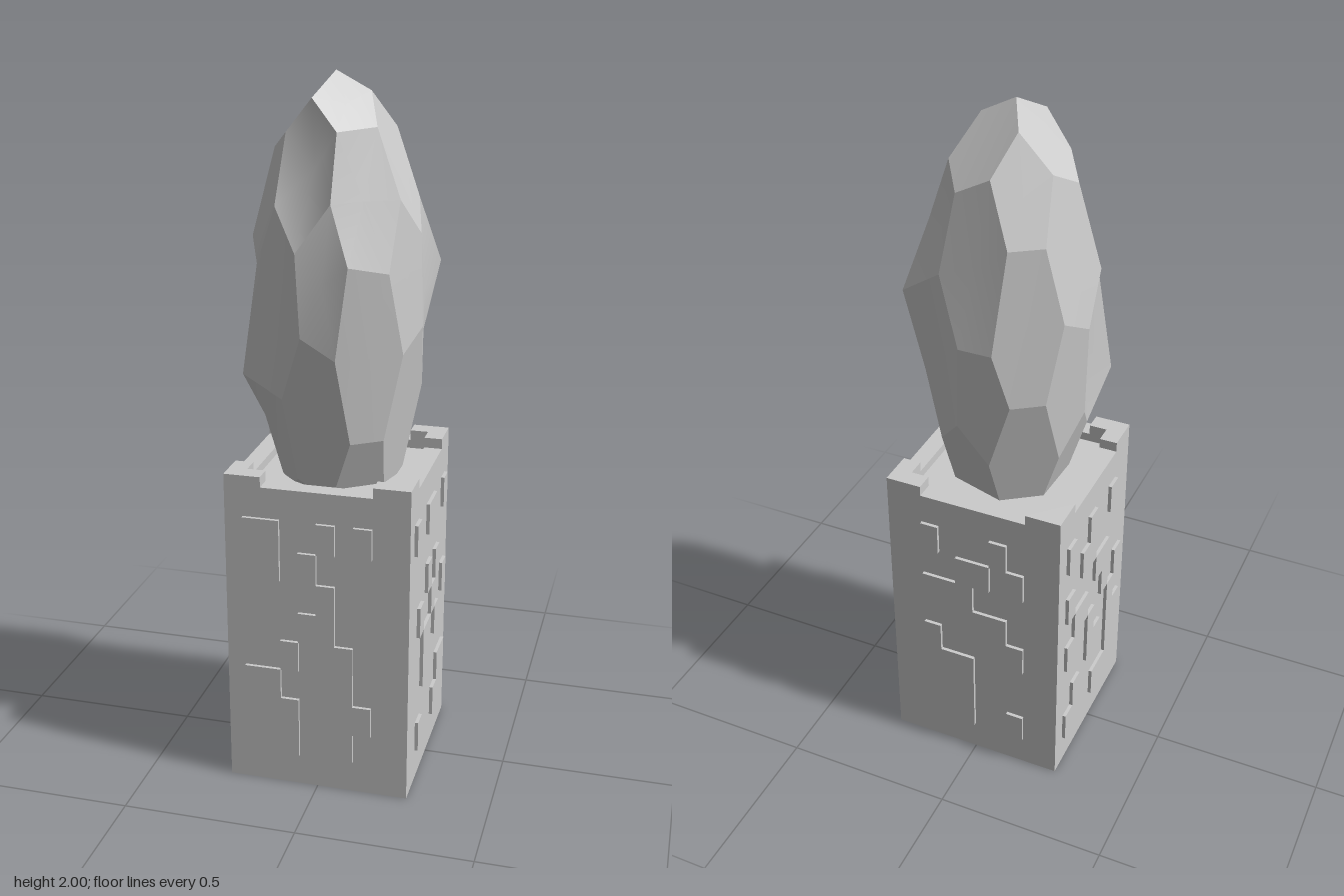
import * as THREE from 'three';

const grey = new THREE.MeshStandardMaterial({ color: 0xcccccc });
const HALF = 0.262, INNER = 0.21, NOTCH = 0.158;
const FLOOR = 0.89, LEDGE = 0.915, TOP = 0.945;

function add(parent, name, geometry) {
  const mesh = new THREE.Mesh(geometry, grey);
  mesh.name = name;
  parent.add(mesh);
  return mesh;
}

// Polygon in plan, raised from y0 to y1
function slab(points, hole, y0, y1) {
  const toPath = (pts) => pts.map(([x, y]) => new THREE.Vector2(x, y));
  const shape = new THREE.Shape(toPath(points));
  if (hole) shape.holes.push(new THREE.Path(toPath(hole)));
  return new THREE.ExtrudeGeometry(shape, { depth: y1 - y0, bevelEnabled: false })
    .rotateX(-Math.PI / 2).translate(0, y0, 0);
}
const square = (s) => [[-s, -s], [s, -s], [s, s], [-s, s]];

// Raised square pattern on each side: front, right, back, left
const PATTERNS = [
  ['.##..#.#..', '.##.#.....', '.....#....', '....##....', '...#.##...', '.##..##...', '..##.###..', '...#.##...'],
  ['.#..##..#.', '..........', '....#.#...', '..#..#..#.', '...##.#...', '...##.....', '.......##.', '..#...##..'],
  ['..#...#...', '....##.#..', '..###.....', '.....##...', '..#...##..', '...##.....', '....#.....', '....#..#..'],
  ['.#..#..#..', '...##.....', '.#...##...', '..##..#.#.', '.#..#..#..', '....##.##.', '..#....#..', '.#...##...'],
];

function createPedestal() {
  const pedestal = new THREE.Group();
  pedestal.name = 'pedestal';
  add(pedestal, 'block', new THREE.BoxGeometry(2 * HALF, FLOOR, 2 * HALF)).position.y = FLOOR / 2;
  add(pedestal, 'rim', slab(square(HALF), square(INNER), FLOOR, LEDGE));

  // L-shaped corner battlements
  const corner = [[HALF, NOTCH], [HALF, HALF], [NOTCH, HALF], [NOTCH, INNER], [INNER, INNER], [INNER, NOTCH]];
  for (let i = 0; i < 4; i++) {
    add(pedestal, 'rimCorner', slab(corner, null, LEDGE, TOP)).rotation.y = i * Math.PI / 2;
  }

  // Thin plates, one per run of filled cells
  const cw = 2 * HALF / 10, ch = 0.0913, top = 0.826, depth = 0.02;
  PATTERNS.forEach((rows, side) => {
    const panel = new THREE.Group();
    panel.name = 'sidePattern';
    panel.rotation.y = side * Math.PI / 2;
    rows.forEach((row, r) => {
      for (const run of row.matchAll(/#+/g)) {
        const n = run[0].length;
        add(panel, 'plate', new THREE.BoxGeometry(n * cw, ch, depth))
          .position.set(-HALF + (run.index + n / 2) * cw, top - (r + 0.5) * ch, HALF);
      }
    });
    pedestal.add(panel);
  });
  return pedestal;
}

// Faceted stone: a stretched truncated icosahedron with pulled corners and hollows
function createCrystalGeometry() {
  const g = (1 + Math.sqrt(5)) / 2, ico = [];
  for (const s of [-1, 1]) for (const t of [-g, g]) {
    ico.push(new THREE.Vector3(0, s, t), new THREE.Vector3(s, t, 0), new THREE.Vector3(t, 0, s));
  }
  const near = (i, j) => i !== j && ico[i].distanceTo(ico[j]) < 2.1;

  // Corners one third along each edge, and the faces they form
  const corners = [], ids = {}, faces = [];
  ico.forEach((a, i) => ico.forEach((b, j) => {
    if (!near(i, j)) return;
    ids[i + '_' + j] = corners.length;
    corners.push(a.clone().lerp(b, 1 / 3).normalize());
  }));
  for (let i = 0; i < 12; i++) {
    const ring = [...ico.keys()].filter((j) => near(i, j));
    faces.push(ring.map((j) => ids[i + '_' + j]));
    for (const j of ring) for (const k of ring) {
      if (i < j && j < k && near(j, k)) {
        faces.push([[i, j], [j, i], [j, k], [k, j], [k, i], [i, k]].map((e) => ids[e.join('_')]));
      }
    }
  }
  // Order each face counter-clockwise seen from outside
  for (const face of faces) {
    const n = new THREE.Vector3();
    face.forEach((c) => n.add(corners[c]));
    n.normalize();
    const u = corners[face[0]].clone().projectOnPlane(n).normalize();
    const v = n.clone().cross(u);
    const angle = (c) => Math.atan2(corners[c].dot(v), corners[c].dot(u));
    face.sort((a, b) => angle(a) - angle(b));
  }

  // Turn one corner to the top and stretch
  const i0 = 0, j0 = [...ico.keys()].find((j) => near(0, j));
  const up = corners[ids[i0 + '_' + j0]].clone();
  const side = corners[ids[j0 + '_' + i0]].clone().projectOnPlane(up).normalize();
  const cross = up.clone().cross(side);
  const U = new THREE.Vector3(-0.574, 0, -0.819), W = new THREE.Vector3(0, 1, 0).cross(U);
  const pts = corners.map((c) => {
    const y = c.dot(up);
    const p = U.clone().multiplyScalar(c.dot(side)).addScaledVector(W, c.dot(cross)).multiplyScalar(0.24);
    p.y = 1.38 + y * (y > 0 ? 0.62 : 0.7);
    return p;
  });

  // Pull the nearest corner to each of these places
  const pulled = [
    [-0.01, 2, 0.008], [0.085, 1.95, 0.008], [-0.045, 1.94, 0.12], [0.03, 1.86, 0.155],
    [0.25, 1.48, -0.14], [-0.235, 1.2, 0.155], [-0.235, 1.56, 0.045], [0.08, 1.53, 0.235],
    [-0.06, 1.56, 0.24], [-0.05, 1.4, -0.235], [0.045, 1.4, -0.235],
  ];
  const flat = (p) => new THREE.Vector3(p.x, p.y * 0.38, p.z);
  for (const place of pulled) {
    const t = new THREE.Vector3(...place);
    const gap = (p) => flat(p).distanceTo(flat(t));
    pts.reduce((best, p) => (gap(p) < gap(best) ? p : best)).copy(t);
  }

  // Hollows pressed into the middle of a few faces
  const hollows = [[-0.03, 1.72, 0.18, 0.045], [-0.22, 1.4, -0.02, 0.03], [0.2, 1.65, -0.1, 0.02]];
  const middles = faces.map((face) => face.reduce((m, c) => m.add(pts[c]), new THREE.Vector3()).divideScalar(face.length));
  for (const [x, y, z, d] of hollows) {
    const t = flat(new THREE.Vector3(x, y, z));
    const m = middles.reduce((best, p) => (flat(p).distanceTo(t) < flat(best).distanceTo(t) ? p : best));
    const k = 1 - d / Math.hypot(m.x, m.z);
    m.x *= k;
    m.z *= k;
  }

  // Fan each face from its middle; corners are not shared, so facet edges stay sharp
  const position = [], index = [];
  faces.forEach((face, f) => {
    const start = position.length / 3;
    position.push(...middles[f].toArray());
    face.forEach((c, i) => {
      position.push(...pts[c].toArray());
      index.push(start, start + 1 + i, start + 1 + (i + 1) % face.length);
    });
  });
  const geometry = new THREE.BufferGeometry();
  geometry.setAttribute('position', new THREE.Float32BufferAttribute(position, 3));
  geometry.setIndex(index);
  geometry.computeVertexNormals();
  return geometry;
}

export function createModel() {
  const model = new THREE.Group();
  model.name = 'crystalPedestal';
  model.add(createPedestal());
  add(model, 'crystal', createCrystalGeometry());
  return model;
}
